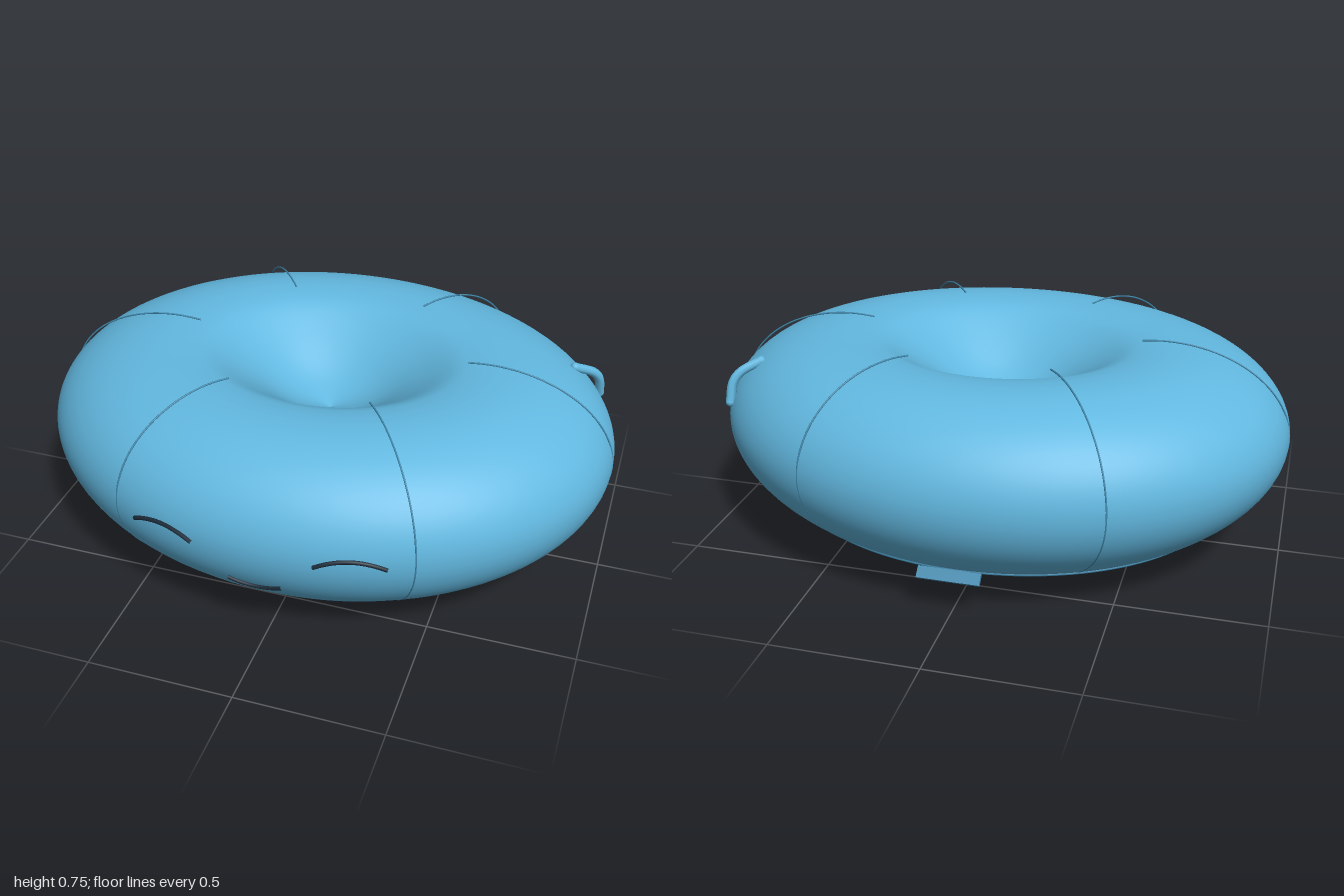
import * as THREE from 'three';

const DEPTH = 0.81;   // front-to-back squash of the round cushion
const MID = 0.42;     // height of the widest line

const blue = new THREE.MeshStandardMaterial({ color: 0x62b8e0 });
const seamBlue = new THREE.MeshStandardMaterial({ color: 0x3f87ab });
const dark = new THREE.MeshStandardMaterial({ color: 0x1c2c3a });

// outer radius of the cushion at height y
function radiusAt(y) {
  const d = y - MID;
  return d > 0
    ? 0.58 + 0.42 * Math.sqrt(Math.max(0, 1 - (d / 0.29) ** 2))
    : Math.sqrt(Math.max(0, 1 - (d / 0.463) ** 2));
}

function tube(name, points, radius, material, closed = false, segments = 48) {
  const curve = new THREE.CatmullRomCurve3(points, closed);
  const mesh = new THREE.Mesh(new THREE.TubeGeometry(curve, segments, radius, 8, closed), material);
  mesh.name = name;
  return mesh;
}

// arc drawn on the front of the cushion; lift bends its middle up or down
function faceArc(name, cx, cy, halfWidth, lift) {
  const points = [];
  for (let i = 0; i <= 8; i++) {
    const t = i / 4 - 1;
    const x = cx + t * halfWidth;
    const y = cy + lift * (1 - t * t);
    points.push(new THREE.Vector3(x, y, DEPTH * Math.sqrt(radiusAt(y) ** 2 - x * x) + 0.003));
  }
  return tube(name, points, 0.007, dark, false, 24);
}

function cushionGeometry() {
  const profile = [new THREE.Vector2(0, 0.025), new THREE.Vector2(0.2, 0.012)];
  // rounded underside, from the flat foot to the widest line
  for (let i = 0; i <= 20; i++) {
    const a = THREE.MathUtils.lerp(Math.acos(0.4), 0, i / 20);
    profile.push(new THREE.Vector2(Math.cos(a), Math.max(0, MID - 0.463 * Math.sin(a))));
  }
  // puffed rim
  for (let i = 1; i <= 20; i++) {
    const a = (i / 20) * Math.PI / 2;
    profile.push(new THREE.Vector2(0.58 + 0.42 * Math.cos(a), MID + 0.29 * Math.sin(a)));
  }
  // sunken seat
  const dip = new THREE.SplineCurve([
    [0.58, 0.71], [0.5, 0.705], [0.42, 0.685], [0.3, 0.615], [0.15, 0.52], [0, 0.465],
  ].map(([r, y]) => new THREE.Vector2(r, y)));
  profile.push(...dip.getPoints(24).slice(1));
  profile[profile.length - 1].x = 0;
  return new THREE.LatheGeometry(profile, 96).scale(1, 1, DEPTH);
}

export function createModel() {
  const group = new THREE.Group();
  group.name = 'cushion';

  const body = new THREE.Mesh(cushionGeometry(), blue);
  body.name = 'cushionBody';
  group.add(body);

  // six seams, standing slightly proud over the rim
  const seams = new THREE.Group();
  seams.name = 'seams';
  for (let k = 0; k < 6; k++) {
    const angle = k * Math.PI / 3;
    const points = [];
    const add = (r, y) => points.push(
      new THREE.Vector3(r * Math.cos(angle), y, r * Math.sin(angle) * DEPTH));
    for (let i = 0; i <= 12; i++) {
      const a = THREE.MathUtils.lerp(1.75, 0, i / 12);
      add(0.56 + 0.438 * Math.cos(a), MID + 0.322 * Math.sin(a));
    }
    for (let i = 1; i <= 12; i++) {
      const a = (i / 12) * Math.acos(0.41);
      add(0.998 * Math.cos(a), MID - 0.461 * Math.sin(a));
    }
    seams.add(tube('seam', points, 0.003, seamBlue, false, 64));
  }
  group.add(seams);

  // piping around the base
  const ring = [];
  for (let i = 0; i < 48; i++) {
    const a = (i / 48) * Math.PI * 2;
    const r = radiusAt(0.127);
    ring.push(new THREE.Vector3(r * Math.cos(a), 0.127, r * Math.sin(a) * DEPTH));
  }
  group.add(tube('basePiping', ring, 0.006, seamBlue, true, 128));

  // sleepy face
  group.add(faceArc('leftEye', 0.31, 0.413, 0.11, 0.03));
  group.add(faceArc('rightEye', -0.31, 0.413, 0.11, 0.03));
  group.add(faceArc('mouth', 0, 0.284, 0.09, -0.024));

  // carry loop on the left side: two straight runs with a bend
  const loop = new THREE.CurvePath();
  const a = new THREE.Vector3(0.81, 0.632, -0.26);
  const b = new THREE.Vector3(0.89, 0.59, -0.315);
  const c = new THREE.Vector3(0.9, 0.5, -0.34);
  const handle = tube('sideHandle', [
    a, a.clone().lerp(b, 0.75), b.clone().lerp(c, 0.25), c,
  ], 0.017, blue, false, 24);
  group.add(handle);
  for (const end of [a, c]) {
    const cap = new THREE.Mesh(new THREE.SphereGeometry(0.017, 10, 8), blue);
    cap.name = 'handleEnd';
    cap.position.copy(end);
    group.add(cap);
  }

  // narrow tab low on the back
  const tab = new THREE.Mesh(new THREE.BoxGeometry(0.21, 0.04, 0.012), seamBlue);
  tab.name = 'backTab';
  tab.position.set(0, 0.146, -0.7);
  tab.rotation.x = 0.8;
  group.add(tab);

  return group;
}
